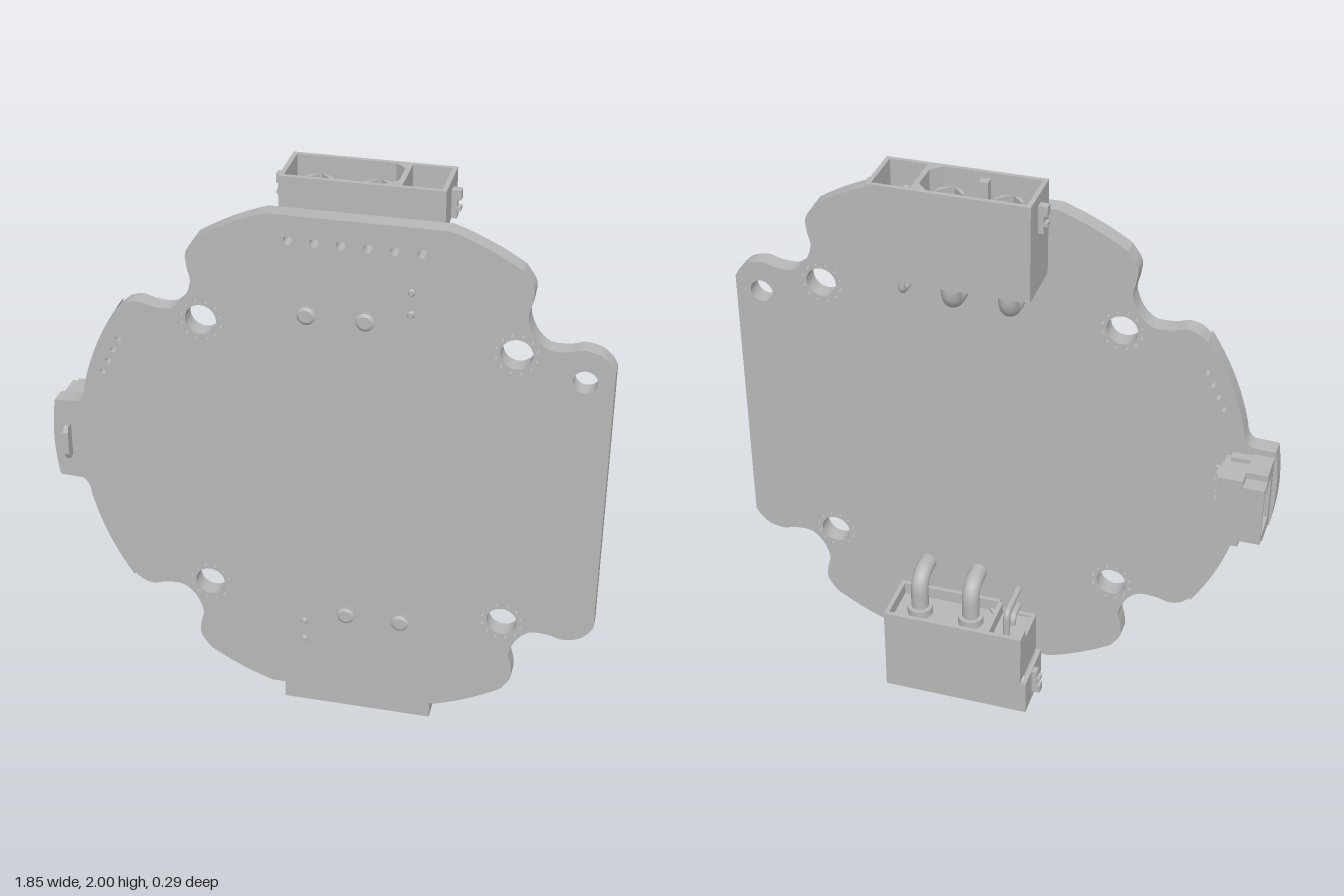
import * as THREE from 'three';
import { toCreasedNormals } from 'three/addons/utils/BufferGeometryUtils.js';

const grey = new THREE.MeshStandardMaterial({ color: 0xb8b8b8 });
grey.name = 'plain grey';
const V = (x, y, z) => new THREE.Vector3(x, y, z);

function add(parent, name, geometry) {
  const mesh = new THREE.Mesh(geometry, grey);
  mesh.name = name;
  parent.add(mesh);
  return mesh;
}

// Box given by its minimum and maximum on each axis
function box(parent, name, x0, x1, y0, y1, z0, z1) {
  const g = new THREE.BoxGeometry(x1 - x0, y1 - y0, z1 - z0);
  return add(parent, name, g.translate((x0 + x1) / 2, (y0 + y1) / 2, (z0 + z1) / 2));
}

const extrude = (shape, depth) => toCreasedNormals(
  new THREE.ExtrudeGeometry(shape, { depth, bevelEnabled: false, curveSegments: 20 }), 0.5);

const polygon = (pts) => pts.map(([x, y]) => new THREE.Vector2(x, y));
const rect = (x0, x1, y0, y1) => polygon([[x0, y0], [x1, y0], [x1, y1], [x0, y1]]);

function holed(outline, holes) {
  const shape = new THREE.Shape(outline);
  holes.forEach((h) => shape.holes.push(new THREE.Path(h)));
  return shape;
}

const CX = 0.11, CY = 1.005;

function buildBoard(parent) {
  // Upper half of the outline, left to right; the lower half mirrors it
  const bite = [[-0.67, 1.515], [-0.64, 1.54], [-0.6, 1.55], [-0.55, 1.538], [-0.49, 1.54],
    [-0.447, 1.58], [-0.425, 1.64], [-0.434, 1.69], [-0.436, 1.74], [-0.405, 1.79]];
  const path = new THREE.Path();
  path.moveTo(-0.925, CY);
  path.quadraticCurveTo(-0.924, 1.08, -0.912, 1.15);
  path.lineTo(-0.835, 1.153);
  path.quadraticCurveTo(-0.815, 1.16, -0.806, 1.2);
  path.absarc(CX, CY, 0.938, 2.932, 2.553, true);
  path.splineThru(polygon(bite));
  path.absarc(CX, CY, 0.94, 2.15, 1.885, true);
  path.lineTo(0.4, 1.9);
  path.absarc(CX, CY, 0.94, 1.257, 0.992, true);
  const right = bite.map(([x, y]) => [2 * CX - x, y]).reverse();
  path.splineThru(polygon([...right.slice(0, -2), [0.872, 1.538], [0.905, 1.51]]));
  path.lineTo(0.92, 1.485);
  const upper = path.getPoints(14);
  const lower = upper.slice(1).reverse().map((p) => new THREE.Vector2(p.x, 2 * CY - p.y));
  const shape = new THREE.Shape([...upper, ...lower]);

  const drill = (x, y, r, n = 10) => {
    const pts = [];
    for (let i = 0; i < n; i++) {
      const a = i / n * Math.PI * 2;
      pts.push(new THREE.Vector2(x + r * Math.cos(a), y + r * Math.sin(a)));
    }
    shape.holes.push(new THREE.Path(pts));
  };
  // Mounting holes, each ringed by tiny vias
  for (const sx of [-1, 1]) for (const sy of [-1, 1]) {
    const x = CX + sx * 0.505, y = CY + sy * 0.505;
    drill(x, y, 0.051, 32);
    for (let i = 0; i < 12; i++) {
      const a = (i + 0.5) * Math.PI / 6;
      drill(x + 0.066 * Math.cos(a), y + 0.066 * Math.sin(a), 0.006, 8);
    }
  }
  drill(0.83, 1.44, 0.039, 28);
  for (let i = 0; i < 6; i++) drill(-0.107 + i * 0.084, 1.815, 0.015, 14);
  for (let i = 0; i < 4; i++) drill(-0.735 + i * 0.02, 1.28 + i * 0.042, 0.01);
  add(parent, 'board', extrude(shape, 0.06).translate(0, 0, 0.05));
}

// Bent pin: down from the housing, then forward through the board
function bentPin(parent, name, x, z, yTop, yBend, r, bend, tip) {
  const path = new THREE.CurvePath();
  path.add(new THREE.LineCurve3(V(x, yTop, z), V(x, yBend + bend, z)));
  path.add(new THREE.QuadraticBezierCurve3(
    V(x, yBend + bend, z), V(x, yBend, z), V(x, yBend, z + bend)));
  path.add(new THREE.LineCurve3(V(x, yBend, z + bend), V(x, yBend, tip)));
  add(parent, name, new THREE.TubeGeometry(path, 36, r, 16));
  const cap = new THREE.CylinderGeometry(r * 0.7, r, 0.006, 16).rotateX(Math.PI / 2);
  add(parent, name + 'Tip', cap.translate(x, yBend, tip + 0.003));
}

function buildPowerConnector() {
  const g = new THREE.Group();
  g.name = 'powerConnector';
  // Plan sections hold x and minus z, and rise along y
  const rise = (name, shape, y0, y1) =>
    add(g, name, extrude(shape, y1 - y0).rotateX(-Math.PI / 2).translate(0, y0, 0));
  const main = polygon([[-0.135, -0.035], [0.18, -0.035], [0.215, 0.0], [0.215, 0.095],
    [0.18, 0.13], [-0.135, 0.13]]);
  rise('housingUpper', holed(rect(-0.15, 0.37, -0.05, 0.145),
    [main, rect(0.232, 0.355, -0.035, 0.13)]), 1.87, 2.0);
  rise('housingLower', holed(rect(-0.15, 0.35, -0.05, 0.145),
    [main, rect(0.232, 0.335, -0.035, 0.13)]), 1.71, 1.87);
  box(g, 'housingFloor', -0.14, 0.34, 1.72, 1.8, -0.135, 0.04);

  // Rear skirt, lower on part of the signal end
  box(g, 'skirt', -0.15, -0.135, 1.675, 1.71, -0.145, 0.05);
  box(g, 'skirt', -0.135, 0.35, 1.675, 1.71, -0.145, -0.13);
  box(g, 'skirt', -0.135, 0.22, 1.675, 1.71, 0.035, 0.05);
  box(g, 'skirt', 0.335, 0.35, 1.675, 1.71, -0.13, -0.085);
  box(g, 'skirtDivider', 0.215, 0.232, 1.675, 1.72, -0.13, 0.035);

  // Side latches
  for (const s of [-1, 1]) {
    const at = (d) => CX + s * d;
    const pair = (a, b) => [Math.min(at(a), at(b)), Math.max(at(a), at(b))];
    box(g, 'latch', ...pair(0.255, 0.278), 1.875, 1.965, -0.068, -0.04);
    box(g, 'latchTop', ...pair(0.255, 0.29), 1.935, 1.967, -0.068, -0.04);
    box(g, 'latchBottom', ...pair(0.255, 0.29), 1.9, 1.912, -0.068, -0.04);
  }
  box(g, 'key', 0.03, 0.06, 1.8, 1.98, 0.005, 0.037);

  // Power contacts: four split quarters each, with a bent tail
  for (const x of [-0.05, 0.138]) {
    for (let i = 0; i < 4; i++) {
      const a = i * Math.PI / 2, o = 0.004;
      const mid = a + Math.PI / 4;
      const q = new THREE.Shape();
      const px = x + o * Math.SQRT2 * Math.cos(mid), py = 0.05 + o * Math.SQRT2 * Math.sin(mid);
      q.moveTo(px, py);
      q.absarc(px, py, 0.043, a, a + Math.PI / 2, false);
      rise('contactQuarter', q, 1.79, 1.955);
    }
    const collar = new THREE.CylinderGeometry(0.045, 0.045, 0.03, 24);
    add(g, 'contactCollar', collar.translate(x, 1.705, -0.045));
    bentPin(g, 'powerTail', x, -0.045, 1.73, 1.565, 0.031, 0.065, 0.113);
    const pad = new THREE.CylinderGeometry(0.036, 0.036, 0.004, 24).rotateX(Math.PI / 2);
    add(g, 'solderPad', pad.translate(x, 1.565, 0.111));
  }
  // Signal contacts
  for (const [z, y] of [[-0.015, 1.685], [-0.09, 1.61]]) {
    box(g, 'signalPin', 0.275, 0.295, 1.79, 1.94, z - 0.01, z + 0.01);
    bentPin(g, 'signalTail', 0.283, z, 1.74, y, 0.012, 0.025, 0.114);
  }
  return g;
}

function buildSideConnector(parent) {
  const g = new THREE.Group();
  g.name = 'sideConnector';
  parent.add(g);
  // Sections hold minus z and y, and run along x
  const run = (name, shape, x0, x1) =>
    add(g, name, extrude(shape, x1 - x0).rotateY(Math.PI / 2).translate(x0, 0, 0));
  run('shellMouth', holed(rect(-0.045, 0.112, 0.9, 1.11), [rect(-0.015, 0.1, 0.92, 1.09)]),
    -0.91, -0.8);
  run('shellBack', holed(rect(-0.05, 0.112, 0.9, 1.11), [rect(0.045, 0.102, 0.945, 1.065)]),
    -0.8, -0.757);
  box(g, 'tongue', -0.89, -0.8, 0.985, 1.025, -0.06, -0.045);
  // Stepped end cheeks and their feet
  for (const s of [-1, 1]) {
    const cheek = (name, a, b, x0, x1, z0, z1) =>
      box(g, name, x0, x1, CY + Math.min(s * a, s * b), CY + Math.max(s * a, s * b), z0, z1);
    cheek('cheekOuter', 0.1, 0.128, -0.91, -0.84, -0.06, 0.045);
    cheek('cheekInner', 0.1, 0.128, -0.84, -0.757, -0.112, -0.02);
    cheek('foot', 0.09, 0.12, -0.87, -0.775, 0.02, 0.052);
  }
  for (const y of [0.955, CY, 1.055]) {
    box(g, 'lead', -0.76, -0.735, y - 0.01, y + 0.01, 0.0, 0.015);
    box(g, 'leadDrop', -0.747, -0.735, y - 0.01, y + 0.01, 0.0, 0.05);
    box(g, 'leadFoot', -0.747, -0.725, y - 0.01, y + 0.01, 0.037, 0.052);
  }
}

function buildButton(parent) {
  // Rounded bar with a half-round base on the front of the tab
  const half = new THREE.Shape();
  half.absarc(-0.872, CY, 0.038, Math.PI / 2, Math.PI * 1.5, false);
  add(parent, 'buttonBase', extrude(half, 0.035).translate(0, 0, 0.108));
  const bar = new THREE.Shape(polygon([[-0.11, 0.948], [-0.133, 0.942], [-0.145, 0.965],
    [-0.145, 1.045], [-0.133, 1.068], [-0.11, 1.062]]));
  const geo = new THREE.ExtrudeGeometry(bar, { depth: 0.016, bevelEnabled: false });
  add(parent, 'buttonBar', geo.rotateY(Math.PI / 2).translate(-0.878, 0, 0));
}

export function createModel() {
  const model = new THREE.Group();
  model.name = 'powerBoard';
  buildBoard(model);
  model.add(buildPowerConnector());
  // Second connector turned half a revolution at the bottom edge
  const bottom = buildPowerConnector();
  bottom.rotation.z = Math.PI;
  bottom.position.set(2 * CX, 2, 0);
  model.add(bottom);
  buildSideConnector(model);
  buildButton(model);
  return model;
}
